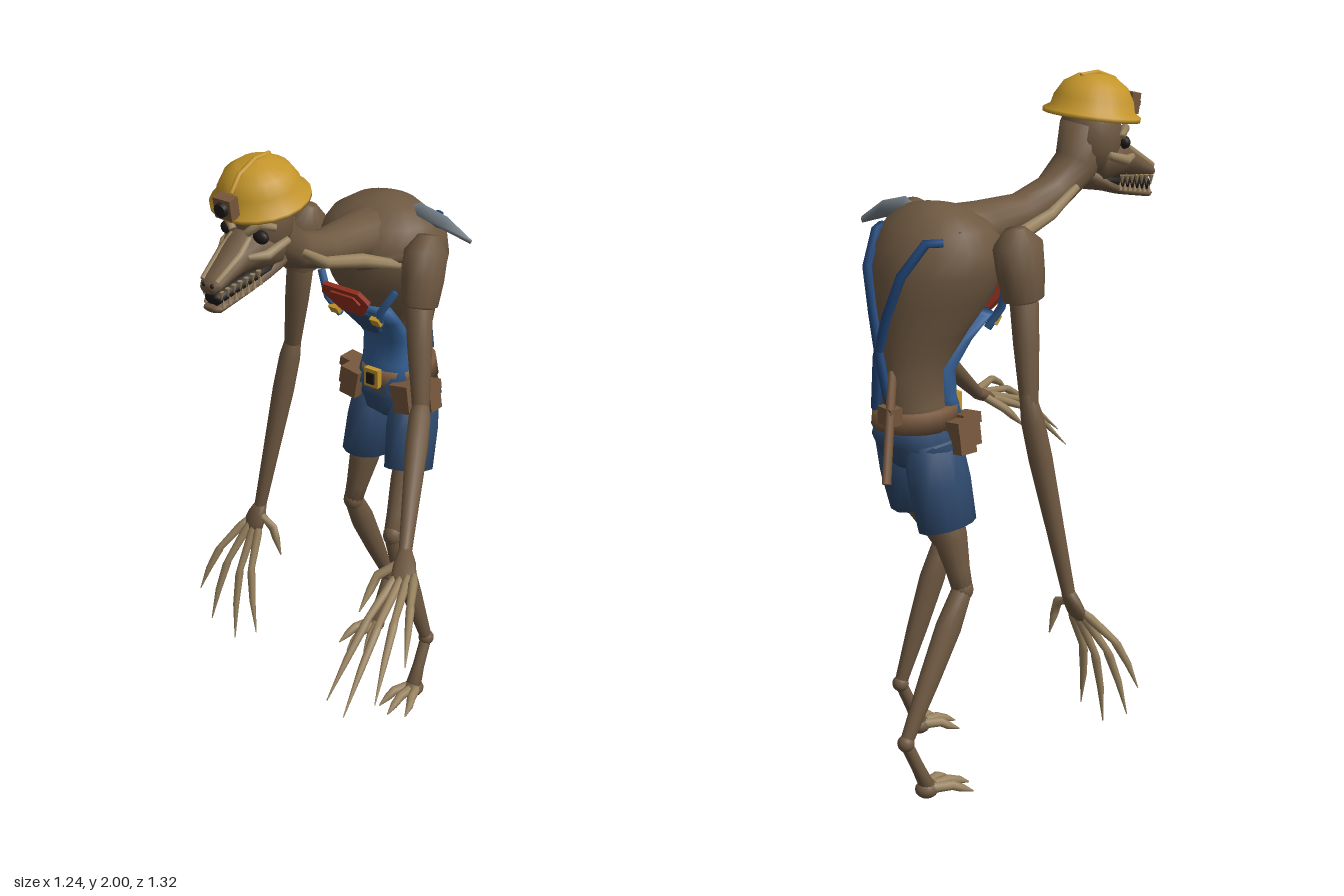
import * as THREE from 'three';

const V = (x, y, z) => new THREE.Vector3(x, y, z);
const CX = -0.13; // body centre line
const Y = V(0, 1, 0), Z = V(0, 0, 1);
const mat = (name, color) => Object.assign(new THREE.MeshStandardMaterial({ color }), { name });
const mix = (p, q, f) => p.map((v, i) => v + (q[i] - v) * f);
// Sections along the line a-b from rows [fraction, halfWidth, halfDepth]
const span = (a, b, rows) => rows.map(([f, ...r]) => [...mix(a, b, f), ...r]);
// Sections on the centre line from rows [y, z, halfWidth, halfDepth]
const centred = rows => rows.map(r => [CX, ...r]);

// Skin over elliptical sections [x, y, z, halfWidth, halfDepth]; dir fixes the section plane
function loft(sections, sides = 12, dir = null) {
  const pos = [], idx = [], n = sections.length;
  const c = sections.map(s => V(s[0], s[1], s[2]));
  sections.forEach((s, i) => {
    const t = dir ? dir.clone() : c[Math.min(i + 1, n - 1)].clone().sub(c[Math.max(i - 1, 0)]).normalize();
    const ref = Math.abs(t.x) > 0.9 ? V(0, 0, 1) : V(1, 0, 0);
    const side = ref.addScaledVector(t, -ref.dot(t)).normalize();
    const up = t.clone().cross(side);
    for (let j = 0; j < sides; j++) {
      const a = (j / sides) * Math.PI * 2;
      const p = c[i].clone().addScaledVector(side, s[3] * Math.cos(a)).addScaledVector(up, (s[4] ?? s[3]) * Math.sin(a));
      pos.push(p.x, p.y, p.z);
    }
  });
  for (let i = 0; i < n - 1; i++) for (let j = 0; j < sides; j++) {
    const a = i * sides + j, b = i * sides + (j + 1) % sides;
    idx.push(a, b, b + sides, a, b + sides, a + sides);
  }
  // end caps
  const e = n * sides, last = (n - 1) * sides;
  pos.push(...c[0].toArray(), ...c[n - 1].toArray());
  for (let j = 0; j < sides; j++) {
    const k = (j + 1) % sides;
    idx.push(e, k, j, e + 1, last + j, last + k);
  }
  const g = new THREE.BufferGeometry();
  g.setAttribute('position', new THREE.Float32BufferAttribute(pos, 3));
  g.setIndex(idx);
  g.computeVertexNormals();
  return g;
}

export function createModel() {
  const root = new THREE.Group();
  const hide = mat('brown hide', 0x6e5841), bone = mat('tan claw', 0x98825f), leather = mat('leather', 0x75563b);
  const denim = mat('dark denim', 0x2f4a6e), bibBlue = mat('bib blue', 0x345f94), strapBlue = mat('strap blue', 0x22477a);
  const yellow = mat('helmet yellow', 0xc4952a), red = mat('red cloth', 0x97301f);
  const steel = mat('steel', 0x727c84), dark = mat('dark', 0x1f1b18);

  const add = (name, geo, m, parent = root) => {
    const mesh = new THREE.Mesh(geo, m);
    mesh.name = name;
    parent.add(mesh);
    return mesh;
  };
  const box = (name, w, h, d, x, y, z, m, parent) => {
    const b = add(name, new THREE.BoxGeometry(w, h, d), m, parent);
    b.position.set(x, y, z);
    return b;
  };
  const ball = (name, r, x, y, z, m, sx = 1, sy = 1, sz = 1) => {
    const b = add(name, new THREE.SphereGeometry(r, 16, 10), m);
    b.position.set(x, y, z);
    b.scale.set(sx, sy, sz);
  };
  const group = (name, x, y, z) => {
    const g = new THREE.Group();
    g.name = name;
    g.position.set(x, y, z);
    root.add(g);
    return g;
  };

  // Hunched torso and long neck
  add('torso', loft(centred([
    [1.06, -.44, .105, .11], [1.15, -.455, .088, .1], [1.25, -.46, .088, .105], [1.35, -.425, .125, .138],
    [1.45, -.385, .168, .178], [1.53, -.37, .198, .182], [1.6, -.36, .2, .17], [1.65, -.36, .165, .13],
    [1.69, -.37, .1, .08], [1.705, -.375, .03, .03]
  ]), 24, Y), hide);
  add('neck', loft(centred([
    [1.6, -.36, .1, .095], [1.615, -.2, .08, .07], [1.63, -.06, .063, .055],
    [1.67, .06, .06, .055], [1.74, .15, .066, .066], [1.84, .19, .08, .08]
  ]), 16), hide);
  for (const s of [-1, 1]) {
    add('neckTendon', loft([
      [CX + s * .06, 1.69, .1, .012], [CX + s * .062, 1.625, 0, .018], [CX + s * .085, 1.59, -.14, .022], [CX + s * .15, 1.56, -.24, .014]
    ], 8), bone);
    add('collarbone', loft([[CX + s * .03, 1.535, -.195, .012], [CX + s * .1, 1.56, -.215, .016], [CX + s * .2, 1.6, -.27, .018]], 8), hide);
  }

  // Head with long toothed muzzle
  ball('cranium', .1, CX, 1.82, .205, hide, .93, 1.25, .9);
  add('upperMuzzle', loft(centred([[1.75, .2, .085, .085], [1.75, .285, .072, .062], [1.735, .33, .053, .048],
    [1.71, .38, .043, .036], [1.688, .425, .038, .026], [1.68, .44, .028, .016]]), 12, Z), hide);
  add('lowerJaw', loft(centred([[1.695, .18, .07, .035], [1.67, .24, .065, .022], [1.645, .3, .05, .016],
    [1.615, .42, .034, .012], [1.615, .432, .025, .008]]), 12, Z), hide);
  add('mouth', loft(centred([[1.685, .22, .06, .02], [1.67, .3, .046, .022], [1.645, .42, .03, .022]]), 12, Z), dark);
  for (const s of [-1, 1]) {
    for (let i = 0; i < 7; i++) {
      const f = i / 6, z = .285 + .135 * f, x = CX + s * (.052 - .02 * f);
      const upper = add('upperTooth', new THREE.ConeGeometry(.008, .03, 6), bone);
      upper.position.set(x, 1.68 - .022 * f, z);
      upper.rotation.x = Math.PI;
      add('lowerTooth', new THREE.ConeGeometry(.007, .026, 6), bone).position.set(x, 1.665 - .03 * f, z - .008);
    }
    add('cheekbone', loft([[CX + s * .05, 1.745, .325, .01], [CX + s * .078, 1.745, .275, .016], [CX + s * .09, 1.77, .2, .012]], 8), bone);
    add('brow', loft([[CX + s * .025, 1.805, .3, .012], [CX + s * .06, 1.835, .285, .014], [CX + s * .088, 1.82, .25, .01]], 8), bone);
    add('muzzleRidge', loft([[CX + s * .03, 1.79, .295, .01], [CX + s * .034, 1.755, .34, .012], [CX + s * .025, 1.7, .43, .009]], 8), bone);
    ball('eyeSocket', .024, CX + s * .058, 1.795, .28, dark, 1.1, .85, .7);
    ball('nostril', .007, CX + s * .015, 1.69, .437, dark);
  }

  // Hard hat with ridge and lamp
  const hat = group('helmet', CX, 1.882, .21);
  hat.rotation.x = .165;
  const profile = [[0, .005], [.115, -.012], [.143, -.012], [.144, 0], [.124, .012], [.117, .042], [.095, .08], [.055, .106], [0, .114]];
  add('helmetShell', new THREE.LatheGeometry(profile.map(p => new THREE.Vector2(...p)), 20), yellow, hat);
  add('helmetRidge', loft([[0, .104, -.06, .007], [0, .115, 0, .008], [0, .1, .07, .008], [0, .062, .112, .007]], 8), yellow, hat);
  box('lampBody', .06, .062, .035, 0, .035, .14, leather, hat);
  const lens = add('lampLens', new THREE.CylinderGeometry(.02, .022, .016, 14), dark, hat);
  lens.rotation.x = Math.PI / 2;
  lens.position.set(0, .036, .162);

  // Arms: heavy shoulder, thin forearm, palm between two outer knuckles, clawed fingers
  function arm(side, shoulder, cuff, elbow, wrist, [first, lastK], bend, tips, thumb) {
    const palmEnd = mix(first, lastK, .5);
    add(side + 'Shoulder', loft(span(shoulder, cuff, [[-.28, .03], [0, .06, .078], [.5, .062, .07], [.95, .054, .06], [1, .04]]), 14), hide);
    add(side + 'UpperArm', loft(span(cuff, elbow, [[-.1, .042], [.4, .037], [1, .026]])), hide);
    add(side + 'Forearm', loft(span(elbow, wrist, [[-.06, .022], [.08, .033], [.28, .034], [.65, .026], [1, .019]])), hide);
    add(side + 'Palm', loft(span(wrist, palmEnd, [[-.1, .019], [.4, .034, .02], [.85, .038, .018], [1.15, .02, .01]])), hide);
    tips.forEach((tip, i) => {
      const knuckle = mix(first, lastK, i / 3);
      const rows = [[-.08, .009, 0], [.05, .014, .3], [.38, .011, 1], [.44, .013, 1], [.7, .01, .7], [1, .0015, 0]];
      add(side + 'Finger', loft(rows.map(([f, r, b]) => [...mix(knuckle, tip, f).map((v, n) => v + bend[n] * b), r]), 8), bone);
    });
    const [joint, end] = thumb;
    add(side + 'Thumb', loft([[...mix(wrist, palmEnd, .25), .013], [...joint, .014], [...mix(joint, end, .4), .012], [...end, .002]], 8), bone);
  }
  arm('right', [-.345, 1.61, -.255], [-.36, 1.45, -.243], [-.415, 1.17, -.27], [-.485, .6, -.18],
    [[-.525, .535, -.15], [-.468, .525, -.155]], [-.012, .01, .02],
    [[-.62, .31, -.03], [-.575, .21, -.03], [-.49, .16, -.045], [-.415, .2, -.065]],
    [[-.415, .55, -.16], [-.397, .45, -.175]]);
  arm('left', [.09, 1.61, -.275], [.103, 1.45, -.226], [.167, 1.17, -.155], [.37, .905, .19],
    [[.455, .875, .265], [.392, .858, .275]], [.008, .035, .01],
    [[.617, .785, .52], [.59, .705, .62], [.505, .645, .65], [.405, .63, .597]],
    [[.328, .85, .265], [.328, .77, .35]]);

  // Shorts and striding legs
  add('shortsSeat', loft(centred([
    [.965, -.44, .06, .07], [.99, -.44, .12, .1], [1.04, -.445, .148, .112], [1.1, -.445, .115, .115]
  ]), 16, Y), denim);
  function leg(side, hip, hem, knee, ankle, foot, toeZ) {
    add(side + 'ShortsLeg', loft(span(hip, hem, [[0, .07, .09], [.5, .074, .098], [1, .07, .092]]), 14), denim);
    add(side + 'Thigh', loft(span(hem, knee, [[-.25, .05], [.2, .046, .05], [.7, .035], [1, .03]])), hide);
    ball(side + 'Kneecap', .032, ...knee, hide, 1, 1.15, 1);
    add(side + 'Shin', loft(span(knee, ankle, [[0, .03], [.25, .031, .042], [.6, .026, .034], [1, .019]])), hide);
    ball(side + 'Heel', .025, ...ankle, hide);
    add(side + 'Instep', loft(span(ankle, foot, [[0, .018], [.6, .019], [1, .026, .022]])), hide);
    ball(side + 'FootPad', .03, foot[0], foot[1] - .01, foot[2], hide, 1.1, .9, 1.2);
    for (const s of [-1, 0, 1]) {
      const tx = foot[0] + s * .052, tz = toeZ - Math.abs(s) * .025;
      add(side + 'Toe', loft([
        [foot[0] + s * .012, .04, foot[2], .016], [foot[0] + s * .035, .038, (foot[2] + tz) / 2, .015],
        [tx - s * .008, .022, tz - .035, .012], [tx, .004, tz, .002]
      ], 8), bone);
    }
  }
  leg('right', [-.2, 1.05, -.445], [-.235, .8, -.42], [-.27, .605, -.395], [-.295, .2, -.625], [-.3, .045, -.555], -.4);
  leg('left', [-.06, 1.05, -.44], [-.028, .815, -.365], [0, .63, -.25], [.035, .195, -.39], [.037, .045, -.32], -.18);

  // Bib with pocket, shoulder straps and buckles
  add('bib', loft(centred([[1.08, -.36, .095, .045], [1.16, -.38, .084, .047], [1.24, -.385, .084, .05],
    [1.32, -.325, .088, .052], [1.385, -.26, .102, .05]]), 20, Y), bibBlue);
  add('bibPocket', loft(centred([[1.285, -.302, .04, .008], [1.31, -.283, .055, .008], [1.38, -.215, .062, .008]]), 8), denim);
  for (const s of [-1, 1]) {
    add('frontStrap', loft([[CX + s * .075, 1.34, -.245, .012], [CX + s * .1, 1.4, -.215, .012], [CX + s * .14, 1.47, -.235, .012]], 8), bibBlue);
    box('strapBuckle', .032, .03, .014, CX + s * .078, 1.362, -.222, yellow).rotation.x = .6;
    const path = [[.135, 1.63, -.45], [.11, 1.63, -.49], [.075, 1.54, -.55], [.03, 1.42, -.567], [-.005, 1.3, -.573], [-.035, 1.14, -.56]];
    add('backStrap', loft(path.map(([dx, y, z]) => [CX + s * dx, y, z, .016, .012]), 8), strapBlue);
  }
  box('strapStud', .03, .02, .03, -.265, 1.645, -.39, strapBlue);

  // Red cloth patch on the chest
  const half = [[.065, .055], [.088, .01], [.04, -.06]];
  const outline = [...half, ...half.map(([x, y]) => [-x, y]).reverse()];
  const chest = group('chestPatch', CX, 1.432, -.188);
  chest.rotation.x = .55;
  for (const [name, k, depth] of [['patchBase', 1, .014], ['patchCentre', .65, .02]]) {
    const shape = new THREE.Shape(outline.map(([x, y]) => new THREE.Vector2(x * k, y * k)));
    add(name, new THREE.ExtrudeGeometry(shape, { depth, bevelEnabled: false }), red, chest);
  }

  // Belt, buckle and pouches
  add('belt', loft(centred([[1.085, -.445, .122, .13], [1.14, -.445, .11, .128]]), 20, Y), leather);
  box('beltBuckle', .052, .06, .02, CX, 1.12, -.31, yellow);
  box('buckleCentre', .028, .036, .008, CX, 1.12, -.298, dark);
  for (const s of [-1, 1]) for (const [dx, z] of [[.145, -.4], [.1, -.345]]) {
    const pouch = group('beltPouch', CX + s * dx, 1.07, z);
    pouch.rotation.z = s * .15;
    box('pouchBody', .06, .085, .055, 0, -.005, 0, leather, pouch);
    box('pouchFlap', .068, .03, .063, 0, .03, 0, leather, pouch);
  }

  // Pickaxe slung across the back
  add('pickHandle', loft([[-.265, .985, -.655, .013], [-.18, 1.2, -.57, .013], [-.02, 1.65, -.4, .013]], 8), leather);
  box('pickLoop', .06, .05, .04, -.18, 1.145, -.575, leather);
  add('pickHead', loft([
    [-.065, 1.655, -.37, .018, .018], [-.01, 1.672, -.38, .026, .032], [.07, 1.655, -.393, .024, .024], [.155, 1.61, -.41, .01, .004]
  ], 4), steel);

  return root;
}
